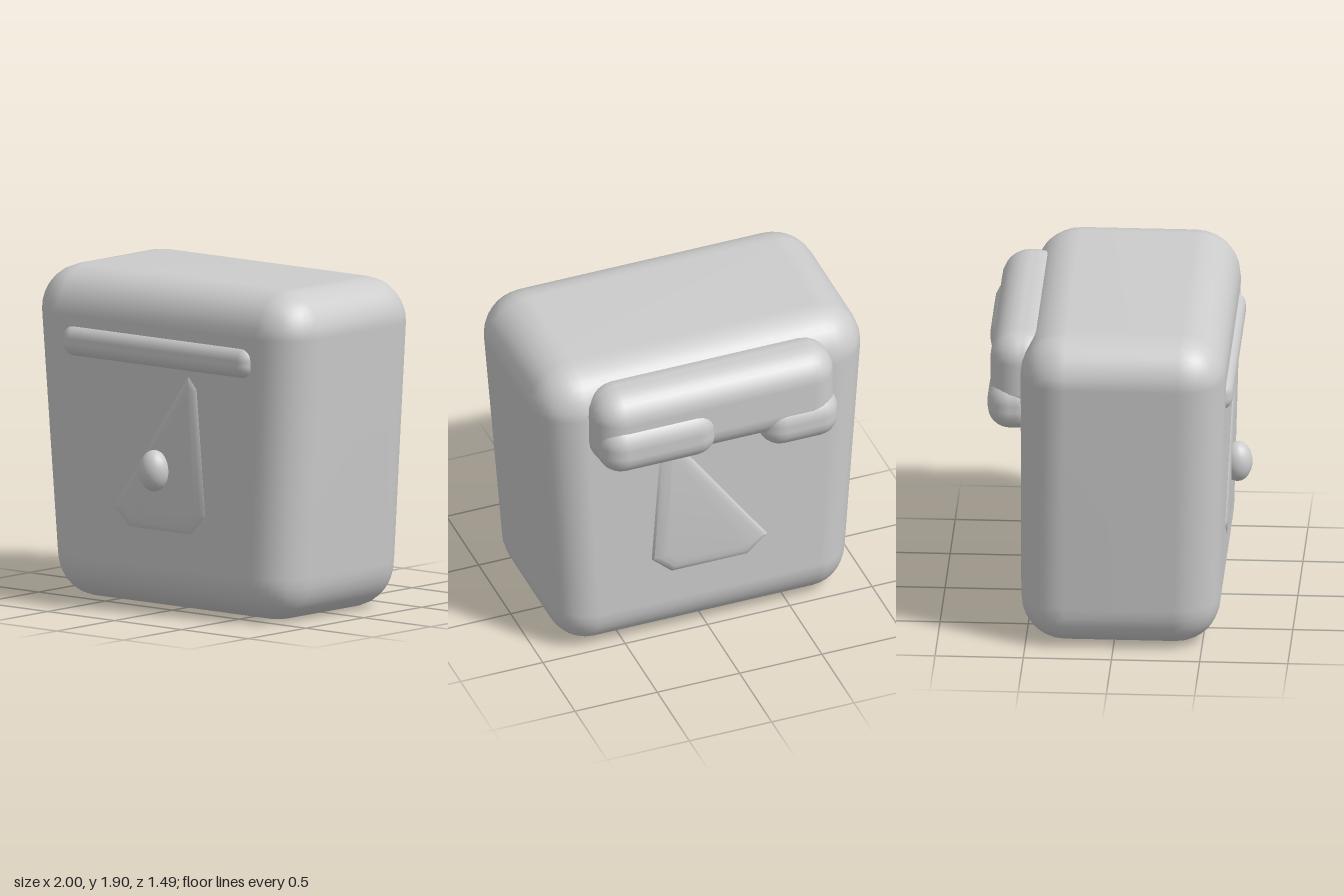
import * as THREE from 'three';
import { RoundedBoxGeometry } from 'three/addons/geometries/RoundedBoxGeometry.js';
import { mergeVertices, toCreasedNormals } from 'three/addons/utils/BufferGeometryUtils.js';

// Rounded box spanning the given ranges, smooth shaded
function roundedBox([x0, x1], [y0, y1], [z0, z1], radius, segments) {
  const g = new RoundedBoxGeometry(x1 - x0, y1 - y0, z1 - z0, segments, radius);
  g.translate((x0 + x1) / 2, (y0 + y1) / 2, (z0 + z1) / 2);
  return g;
}

// Move every vertex by a rule
function reshape(g, rule) {
  const p = g.attributes.position;
  const v = new THREE.Vector3();
  for (let i = 0; i < p.count; i++) {
    rule(v.fromBufferAttribute(p, i));
    p.setXYZ(i, v.x, v.y, v.z);
  }
  return g;
}

// Height along the tapered part of the body, 0 at the bottom and 1 at the top
const taper = (y) => THREE.MathUtils.clamp((y - 0.25) / 1.4, 0, 1);

export function createModel() {
  const group = new THREE.Group();
  const grey = new THREE.MeshStandardMaterial({ color: 0xcccccc });
  grey.name = 'plain grey';
  const add = (name, geometry) => {
    const mesh = new THREE.Mesh(geometry, grey);
    mesh.name = name;
    group.add(mesh);
    return mesh;
  };

  // Body: rounded block, narrower at the bottom, front leaning slightly out
  let body = roundedBox([-1, 1], [0, 1.9], [-0.53, 0.635], 0.26, 4);
  reshape(body, (v) => {
    const t = taper(v.y);
    v.x *= 0.9 + 0.1 * t;
    v.z = -0.53 + (v.z + 0.53) * (0.97 + 0.03 * t);
  });
  body.deleteAttribute('normal');
  body.deleteAttribute('uv');
  body = mergeVertices(body, 1e-4);
  body.computeVertexNormals();
  add('body', body);

  // Raised panel, showing faintly on both front and back
  const outline = [[-0.35, 0.57], [-0.23, 0.46], [0.23, 0.46], [0.35, 0.57], [0.3, 1.31], [0.23, 1.39]];
  const shape = new THREE.Shape(outline.map(([x, y]) => new THREE.Vector2(x, y)));
  const panel = new THREE.ExtrudeGeometry(shape, {
    depth: 1.13, bevelEnabled: true, bevelThickness: 0.025, bevelSize: 0.08,
    bevelOffset: -0.08, bevelSegments: 3,
  });
  panel.translate(0, 0, -0.53);
  reshape(panel, (v) => { if (v.z > 0) v.z += -0.011 + 0.035 * taper(v.y); });
  add('panel', toCreasedNormals(panel, 0.7));

  // Front bar and knob
  add('frontBar', roundedBox([-0.71, 0.71], [1.4, 1.59], [0.47, 0.67], 0.08, 3));
  const knob = new THREE.SphereGeometry(1, 20, 14);
  knob.scale(0.088, 0.118, 0.085);
  knob.translate(0, 0.818, 0.658);
  add('knob', knob);

  // Overlapping pads on the back
  add('backBar', roundedBox([-0.735, 0.732], [1.34, 1.84], [-0.71, -0.35], 0.165, 3));
  add('leftBackPad', roundedBox([0, 0.71], [1.335, 1.67], [-0.75, -0.43], 0.14, 3));
  add('rightBackPad', roundedBox([-0.745, -0.27], [1.26, 1.56], [-0.725, -0.43], 0.13, 3));

  return group;
}
